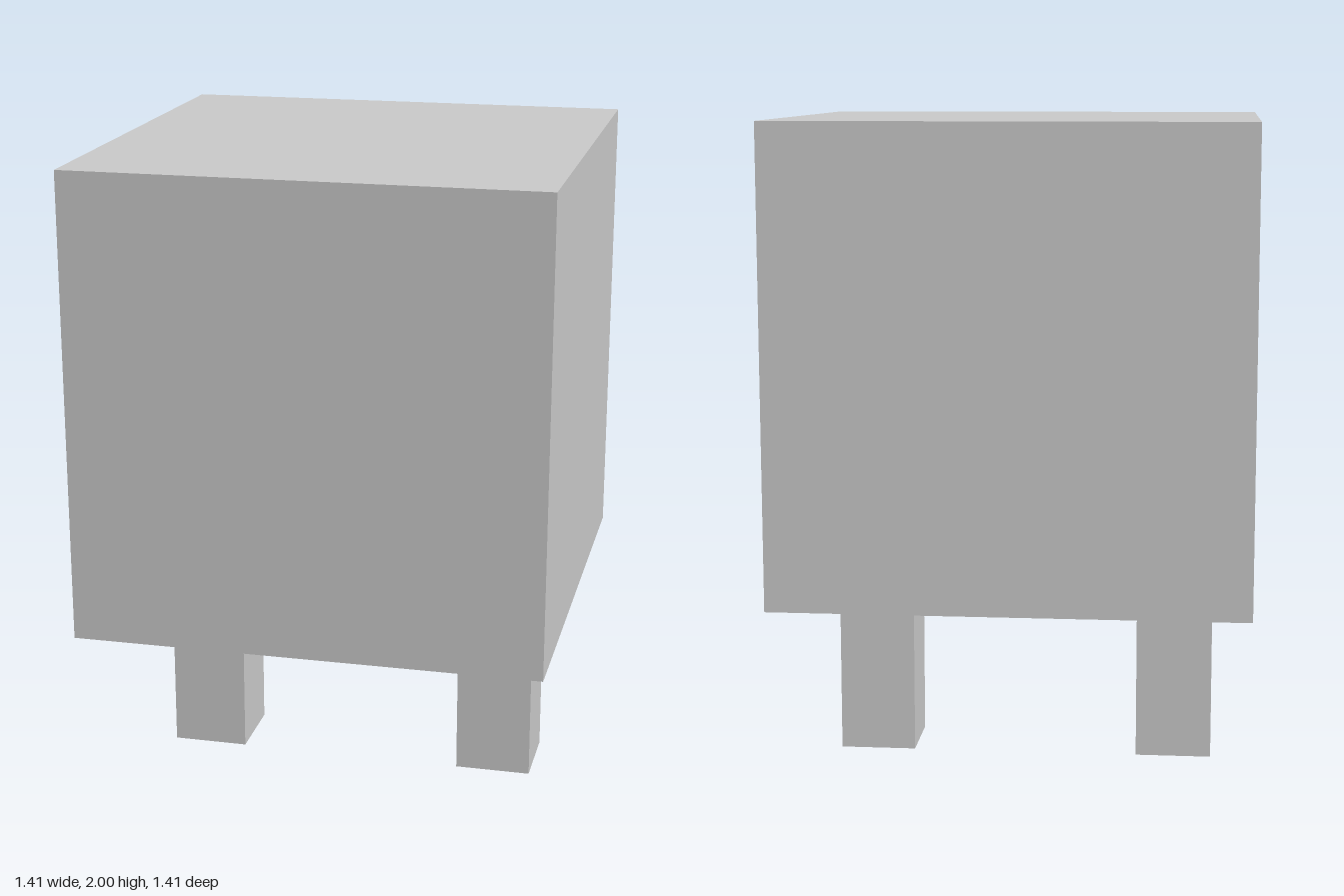
import * as THREE from 'three';

const BODY = 1.41;      // edge of the cubic body
const LEG_HEIGHT = 0.59;
const LEG_WIDTH = 0.235;
const LEG_X = 0.47;

export function createModel() {
  const model = new THREE.Group();
  const material = new THREE.MeshStandardMaterial({ color: 0xcccccc, flatShading: true });

  const addBox = (name, width, height, depth, x, bottom) => {
    const mesh = new THREE.Mesh(new THREE.BoxGeometry(width, height, depth), material);
    mesh.name = name;
    mesh.position.set(x, bottom + height / 2, 0);
    model.add(mesh);
  };

  // Cubic body resting on the legs
  addBox('body', BODY, BODY, BODY, 0, LEG_HEIGHT);

  // Mirrored pair of square legs
  for (const [name, side] of [['leftLeg', 1], ['rightLeg', -1]]) {
    addBox(name, LEG_WIDTH, LEG_HEIGHT, LEG_WIDTH, side * LEG_X, 0);
  }

  return model;
}
